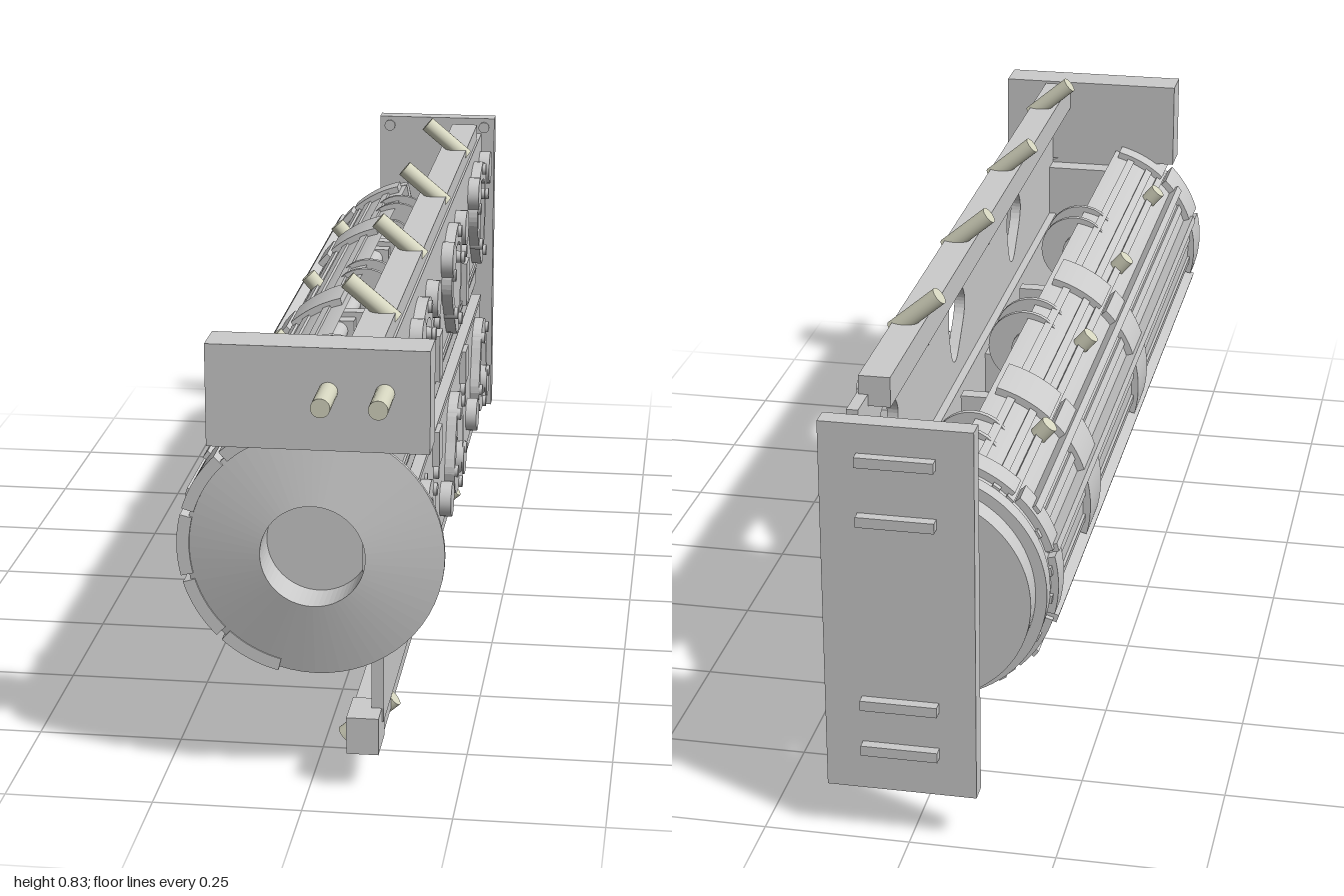
import * as THREE from 'three';

const grey = new THREE.MeshStandardMaterial({ color: 0xcccccc });
const steel = new THREE.MeshStandardMaterial({ color: 0xd6d6c0 });
const CY = 0.42; // height of the drum axis
const RAD = Math.PI / 180;

export function createModel() {
  const model = new THREE.Group();

  const add = (name, geo, mat = grey) => {
    const m = new THREE.Mesh(geo, mat);
    m.name = name;
    model.add(m);
    return m;
  };
  // box given by its limits on each axis
  const box = (name, x0, x1, y0, y1, z0, z1) =>
    add(name, new THREE.BoxGeometry(x1 - x0, y1 - y0, z1 - z0))
      .position.set((x0 + x1) / 2, (y0 + y1) / 2, (z0 + z1) / 2);
  // round bar between two points
  const rod = (name, a, b, r, mat = grey, sides = 20) => {
    const p = new THREE.Vector3(...a), q = new THREE.Vector3(...b);
    const m = add(name, new THREE.CylinderGeometry(r, r, p.distanceTo(q), sides), mat);
    m.position.copy(p).add(q).multiplyScalar(0.5);
    m.quaternion.setFromUnitVectors(new THREE.Vector3(0, 1, 0), q.sub(p).normalize());
  };
  // side-on panel: shape is drawn in (-z, y) and thickened along +x
  const panel = (name, shape, x0, x1) =>
    add(name, new THREE.ExtrudeGeometry(shape, { depth: x1 - x0, bevelEnabled: false, curveSegments: 12 })
      .rotateY(Math.PI / 2).translate(x0, 0, 0));
  // curved bar around the drum axis
  const arc = (name, r0, r1, a0, a1, z0, z1) => {
    const s = new THREE.Shape();
    s.absarc(0, CY, r1, a0 * RAD, a1 * RAD, false);
    s.absarc(0, CY, r0, a1 * RAD, a0 * RAD, true);
    s.closePath();
    add(name, new THREE.ExtrudeGeometry(s, { depth: z1 - z0, bevelEnabled: false, curveSegments: 24 })
      .translate(0, 0, z0));
  };
  const rectShape = (u0, u1, y0, y1) => new THREE.Shape(
    [[u0, y0], [u1, y0], [u1, y1], [u0, y1]].map(p => new THREE.Vector2(...p)));

  // pear-shaped port outlines, in hundredths of a unit about the port centre
  const upperOutline = [[-10, 4], [-5, 9], [2, 11], [8, 9], [10, 3], [8, -5], [5, -10], [1, -11], [-5, -6], [-10, 0]];
  const lowerOutline = [[-10, -3], [-8, 3], [-5, 9], [0, 11], [5, 9], [8, 3], [10, -4], [6, -10], [0, -9], [-7, -8]];
  const outline = (pts, u, y, k) => new THREE.CatmullRomCurve3(
    pts.map(p => new THREE.Vector3(u + p[0] * 0.01 * k, y + p[1] * 0.01 * k, 0)), true)
    .getPoints(40).slice(0, 40).map(p => new THREE.Vector2(p.x, p.y));

  // valve plates with ports, flanges, bolts, plugs and drilled holes
  const rows = [
    { y0: 0.48, y1: 0.735, py: 0.6, ports: [0.4, -0.145, -0.686], pts: upperOutline, plugY: 0.665, holeY: 0.655 },
    { y0: 0.11, y1: 0.36, py: 0.235, ports: [0.316, -0.225, -0.767], pts: lowerOutline, plugY: 0.176, holeY: 0.188 },
  ];
  for (const r of rows) {
    const plate = rectShape(-0.87, 0.885, r.y0, r.y1);
    for (const z of r.ports) {
      plate.holes.push(new THREE.Path(outline(r.pts, -z, r.py, 0.68)));
      const flange = new THREE.Shape(outline(r.pts, -z, r.py, 1));
      flange.holes.push(new THREE.Path(outline(r.pts, -z, r.py, 0.68)));
      panel('portFlange', flange, 0.12, 0.14);
      for (const i of [0, 2, 4, 6, 8]) {
        const [u, v] = r.pts[i];
        const y = r.py + v * 0.0088, zz = z - u * 0.0088;
        rod('flangeBolt', [0.115, y, zz], [0.147, y, zz], 0.012, grey, 12);
      }
    }
    for (const z of [0.155, -0.38]) {
      plate.holes.push(new THREE.Path().absarc(-z, r.holeY, 0.01, 0, Math.PI * 2, true));
    }
    panel('valvePlate', plate, 0.1, 0.12);
    for (const z of [0.477, 0.22, -0.06, -0.317, -0.605, -0.858])
      rod('roundPlug', [0.11, r.plugY, z], [0.143, r.plugY, z], 0.035, grey, 24);
    // tabs reaching over the channel edges
    const edge = r.y0 > CY ? r.y0 : r.y1;
    const out = Math.sign(edge - CY);
    for (const z of [0.08, -0.455]) {
      const a = edge - out * 0.01, b = edge + out * (out > 0 ? 0.08 : 0.06);
      box('clampTab', 0.1, 0.133, Math.min(a, b), Math.max(a, b), z - 0.028, z + 0.028);
      rod('tabPin', [0.11, b + out * 0.02, z], [0.13, b + out * 0.02, z], 0.013, grey, 12);
    }
    for (const z of [0.24, 0, -0.225, -0.54])
      rod('smallScrew', [0.11, edge + out * 0.035, z], [0.125, edge + out * 0.035, z], 0.008, grey, 10);
  }

  // recessed central channel with stepped rails
  box('centralChannel', 0.085, 0.1, 0.355, 0.485, -0.885, 0.87);
  box('channelRib', 0.1, 0.108, 0.385, 0.455, -0.86, 0.82);
  box('channelRib', 0.1, 0.114, 0.405, 0.435, -0.86, 0.82);
  for (const y of [0.36, 0.468]) box('channelLip', 0.1, 0.124, y, y + 0.012, -0.87, 0.82);
  for (const y of [0.29, 0.48]) box('frontClamp', 0.1, 0.13, y, y + 0.08, 0.815, 0.875);

  // edge rails and lower front foot
  box('topRail', 0.062, 0.116, 0.715, 0.768, -0.82, 0.84);
  box('bottomRail', 0.065, 0.116, 0.075, 0.125, -0.82, 0.87);
  box('railFoot', 0.063, 0.117, 0.07, 0.135, 0.83, 0.915);

  // front head block and its two pins
  box('headBlock', -0.165, 0.2, 0.6, 0.773, 0.84, 0.912);
  for (const x of [0.035, 0.127]) rod('headPin', [x, 0.7, 0.9], [x, 0.7, 1], 0.016, steel);

  // slanted pipes along both rails, with matching stubs on the drum
  for (const z of [0.67, 0.257, -0.16, -0.575]) {
    rod('upperPipe', [0.034, 0.82, z], [0.115, 0.752, z], 0.016, steel);
    rod('drumStub', [-0.125, 0.56, z], [-0.158, 0.598, z], 0.016, steel);
  }
  for (const z of [0.72, 0.18, -0.36]) {
    rod('lowerPipe', [0.034, 0.015, z], [0.12, 0.09, z], 0.016, steel);
    rod('drumStub', [-0.115, 0.27, z], [-0.16, 0.228, z], 0.018, steel);
  }

  // half-drum shell, open towards the plates
  const shell = new THREE.CylinderGeometry(0.208, 0.208, 1.72, 48, 1, true, 191 * RAD, 158 * RAD);
  shell.rotateX(Math.PI / 2).translate(0, CY, 0.01);
  add('drumShell', shell);
  // raised bands, longitudinal ribs and stepped strips
  for (const [z0, z1] of [[0.8, 0.895], [0.02, 0.13], [-0.52, -0.41], [-0.83, -0.78]])
    for (let a = 104; a < 250; a += 31) arc('drumBand', 0.2, 0.221, a, a + 28, z0, z1);
  for (const a of [144, 163, 197, 217, 237]) arc('drumRib', 0.205, 0.228, a - 1.8, a + 1.8, -0.82, 0.82);
  for (const a of [112, 124, 132, 153, 172, 186, 207, 227, 246])
    arc('drumStrip', 0.205, 0.213, a - 2, a + 2, -0.84, 0.84);

  // rear hub of the drum
  arc('rearHub', 0.09, 0.19, 103, 257, -0.912, -0.84);
  arc('rearHubRim', 0.175, 0.209, 101, 259, -0.87, -0.84);

  // front flange: shallow dished ring with a deep bore
  const ring = [[0.087, 0.84], [0.2, 0.84], [0.215, 0.882], [0.215, 0.89], [0.087, 0.914], [0.087, 0.84]];
  const ringGeo = new THREE.LatheGeometry(ring.map(p => new THREE.Vector2(...p)), 64).toNonIndexed();
  ringGeo.deleteAttribute('normal');
  ringGeo.computeVertexNormals();
  ringGeo.rotateX(Math.PI / 2).translate(0.008, CY - 0.003, 0);
  add('frontRing', ringGeo, new THREE.MeshStandardMaterial({ color: 0xcccccc, side: THREE.DoubleSide }));
  box('frontWall', -0.1, 0.1, 0.25, 0.59, 0.8, 0.84);

  // two inner shafts carrying pairs of thin discs
  const sets = [[0.565, [0.44, 0.37, -0.09, -0.16, -0.63, -0.7]], [0.275, [0.31, 0.25, -0.23, -0.29, -0.77, -0.83]]];
  for (const [y, zs] of sets) {
    rod('innerShaft', [-0.06, y, -0.84], [-0.06, y, 0.82], 0.018);
    for (const z of zs) {
      rod('shaftDisc', [-0.035, y, z - 0.005], [-0.035, y, z + 0.005], 0.07, grey, 32);
      rod('shaftCollar', [-0.045, y, z - 0.014], [-0.045, y, z + 0.014], 0.035, grey, 24);
    }
    for (const z of [0.07, -0.465]) {
      box('shaftBracket', -0.09, 0.02, y - 0.03, y + 0.03, z - 0.013, z + 0.013);
      box('bracketFoot', -0.09, -0.03, y - 0.045, y + 0.02, z - 0.04, z + 0.04);
    }
  }
  box('crossBlock', -0.03, 0.1, 0.38, 0.46, 0.04, 0.1);
  box('crossBlock', -0.03, 0.1, 0.38, 0.46, -0.77, -0.69);

  // separate rear end plate with four bars and corner screws
  box('endPlate', -0.112, 0.143, 0.09, 0.755, -0.982, -0.947);
  for (const y of [0.695, 0.59, 0.255, 0.17]) box('endPlateBar', -0.05, 0.08, y - 0.009, y + 0.009, -1, -0.98);
  for (const x of [-0.09, 0.12]) for (const y of [0.11, 0.735])
    rod('endPlateScrew', [x, y, -0.95], [x, y, -0.942], 0.012, grey, 12);

  return model;
}
